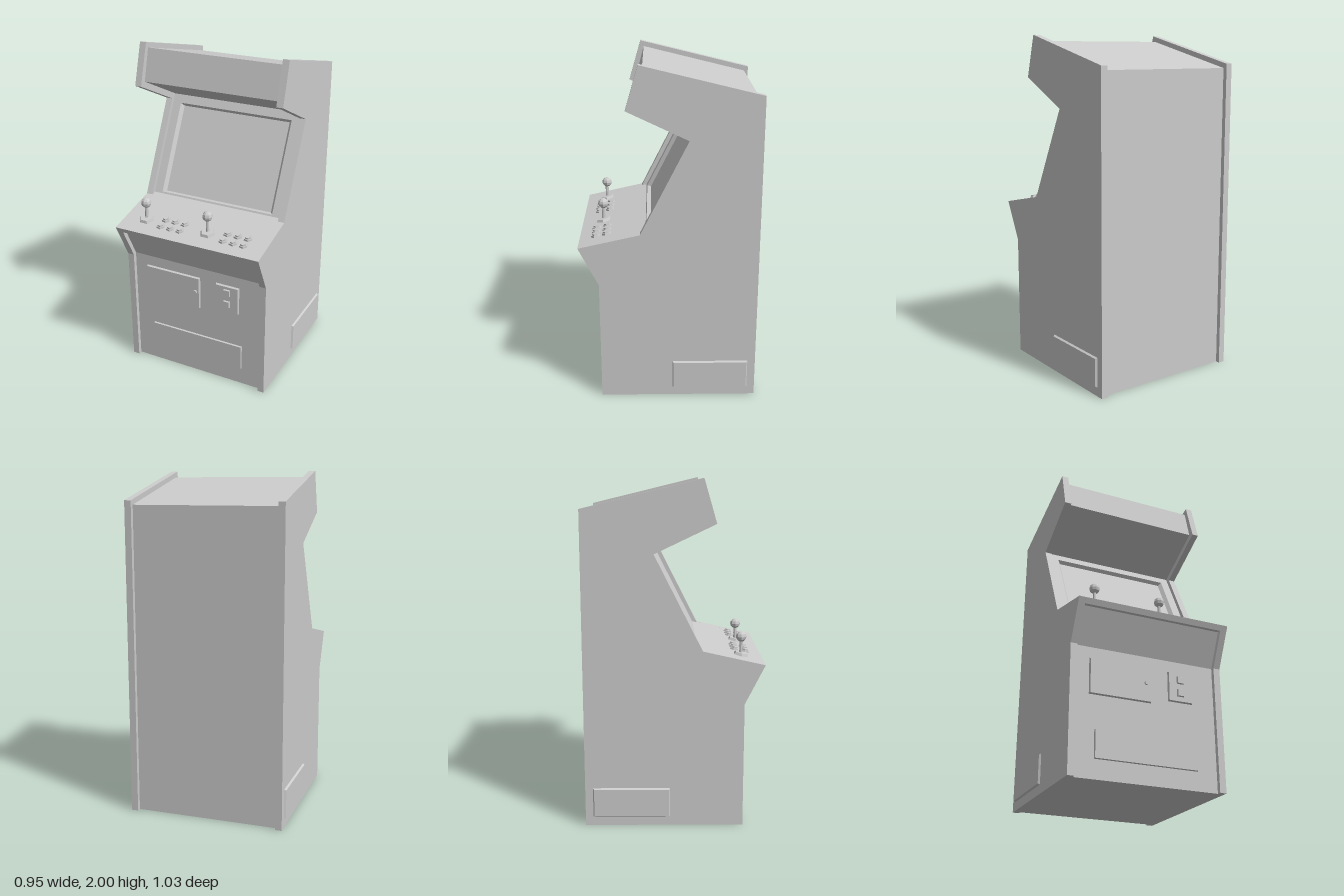
import * as THREE from 'three';

const casing = new THREE.MeshStandardMaterial({ color: 0xcccccc });
casing.name = 'casing grey';

const TILT = Math.atan(0.2254); // slope of the control deck
const deckY = (z) => 0.965 + (0.52 - z) * 0.2254;

function add(parent, name, geometry, x = 0, y = 0, z = 0) {
  const mesh = new THREE.Mesh(geometry, casing);
  mesh.name = name;
  mesh.position.set(x, y, z);
  parent.add(mesh);
  return mesh;
}

// Extrudes a side profile of [z, y] points across x, centred on x = 0
function slab(profile, width) {
  const shape = new THREE.Shape(profile.map(([z, y]) => new THREE.Vector2(z, y)));
  const g = new THREE.ExtrudeGeometry(shape, { depth: width, bevelEnabled: false });
  g.translate(0, 0, -width / 2);
  return g.rotateY(-Math.PI / 2);
}

// Box given by its front rectangle; its +z face shrinks by the bevel
function plate(x0, x1, y0, y1, depth, bevel = 0) {
  const w = x1 - x0, h = y1 - y0;
  const g = new THREE.BoxGeometry(w, h, depth);
  const p = g.attributes.position;
  for (let i = 0; i < p.count; i++) {
    if (p.getZ(i) > 0) {
      p.setXY(i, p.getX(i) * (1 - 2 * bevel / w), p.getY(i) * (1 - 2 * bevel / h));
    }
  }
  g.translate((x0 + x1) / 2, (y0 + y1) / 2, depth / 2);
  g.computeVertexNormals();
  return g;
}

// Sloped screen: flat surround, tapered walls and recessed glass
function screenGeometry() {
  const loop = (w, y0, y1, d) =>
    [[-w, y0], [w, y0], [w, y1], [-w, y1]].map(([x, y]) =>
      [x, y - 0.45 * d, 0.143 - (y - 1.034) * 0.5046 - 0.893 * d]);
  const loops = [
    loop(0.425, 1.03, 1.613, 0),
    loop(0.372, 1.062, 1.565, 0),
    loop(0.354, 1.072, 1.555, 0.022),
  ];
  const pos = [];
  const quad = (a, b, c, d) => pos.push(...a, ...b, ...c, ...a, ...c, ...d);
  for (let k = 0; k < 2; k++) {
    for (let i = 0; i < 4; i++) {
      const j = (i + 1) % 4;
      quad(loops[k][i], loops[k][j], loops[k + 1][j], loops[k + 1][i]);
    }
  }
  quad(...loops[2]);
  const g = new THREE.BufferGeometry();
  g.setAttribute('position', new THREE.Float32BufferAttribute(pos, 3));
  g.computeVertexNormals();
  return g;
}

// Faceted turned piece with flat normals
function faceted(geometry) {
  const g = geometry.toNonIndexed();
  g.computeVertexNormals();
  return g;
}

function hexPart(parent, name, rTop, rBottom, height, lift, turn) {
  const g = faceted(new THREE.CylinderGeometry(rTop, rBottom, height, 6));
  g.rotateY(turn).translate(0, lift + height / 2, 0).rotateX(TILT);
  return add(parent, name, g);
}

function joystick(x, z) {
  const stick = new THREE.Group();
  stick.name = 'joystick';
  stick.position.set(x, deckY(z), z);
  hexPart(stick, 'joystickBase', 0.04, 0.048, 0.018, -0.002, Math.PI / 6);
  add(stick, 'joystickShaft', faceted(new THREE.CylinderGeometry(0.01, 0.01, 0.09, 8)), 0, 0.045, 0);
  add(stick, 'joystickBall', faceted(new THREE.SphereGeometry(0.031, 8, 6)), 0, 0.109, 0);
  return stick;
}

function button(x, z) {
  const b = new THREE.Group();
  b.name = 'button';
  b.position.set(x, deckY(z), z);
  hexPart(b, 'buttonCollar', 0.025, 0.028, 0.012, -0.002, 0.3);
  hexPart(b, 'buttonCap', 0.018, 0.019, 0.009, 0.01, 0.3);
  return b;
}

export function createModel() {
  const model = new THREE.Group();
  model.name = 'arcadeCabinet';

  // Side panels
  const sideProfile = [
    [0.405, 0], [0.405, 0.735], [0.52, 0.965], [0.165, 1.045], [-0.11, 1.59],
    [0.237, 1.755], [0.165, 2], [-0.515, 1.835], [-0.515, 0],
  ];
  for (const s of [1, -1]) {
    add(model, s > 0 ? 'leftPanel' : 'rightPanel', slab(sideProfile, 0.04), s * 0.445);
  }

  // Inset body with the marquee overhang
  add(model, 'body', slab([
    [0.38, 0], [0.38, 0.74], [0.4775, 0.937], [0.11, 1.025], [-0.18, 1.597],
    [0.195, 1.775], [0.145, 1.965], [-0.49, 1.81], [-0.49, 0],
  ], 0.85));

  add(model, 'screen', screenGeometry());

  // Control deck
  add(model, 'controlDeck', slab([
    [0.52, 0.965], [0.12, 1.055], [0.11, 1.02], [0.505, 0.934],
  ], 0.85));
  for (const x of [-0.325, 0.085]) {
    model.add(joystick(x, 0.392));
    for (let c = 0; c < 3; c++) {
      for (const z of [0.362, 0.425]) model.add(button(x + 0.116 + c * 0.064, z));
    }
  }

  // Front door, coin plate and lower hatch
  const front = 0.38;
  add(model, 'serviceDoor', plate(-0.345, 0.025, 0.465, 0.675, 0.012, 0.005), 0, 0, front);
  const knob = faceted(new THREE.CylinderGeometry(0.013, 0.013, 0.012, 8)).rotateX(Math.PI / 2);
  add(model, 'doorLock', knob, -0.005, 0.578, front + 0.016);
  add(model, 'coinPlate', plate(0.133, 0.285, 0.495, 0.672, 0.012, 0.005), 0, 0, front);
  for (const y of [0.528, 0.605]) {
    add(model, 'coinSlot', plate(0.186, 0.23, y, y + 0.045, 0.008, 0.004), 0, 0, front + 0.012);
  }
  add(model, 'lowerHatch', plate(-0.31, 0.305, 0.11, 0.27, 0.01, 0.003), 0, 0, front);

  // Side vents
  for (const s of [1, -1]) {
    const vent = add(model, 'sideVent', plate(-0.225, 0.225, 0.053, 0.23, 0.011, 0.007), s * 0.465, 0, -0.245);
    vent.rotation.y = s * Math.PI / 2;
  }

  return model;
}
